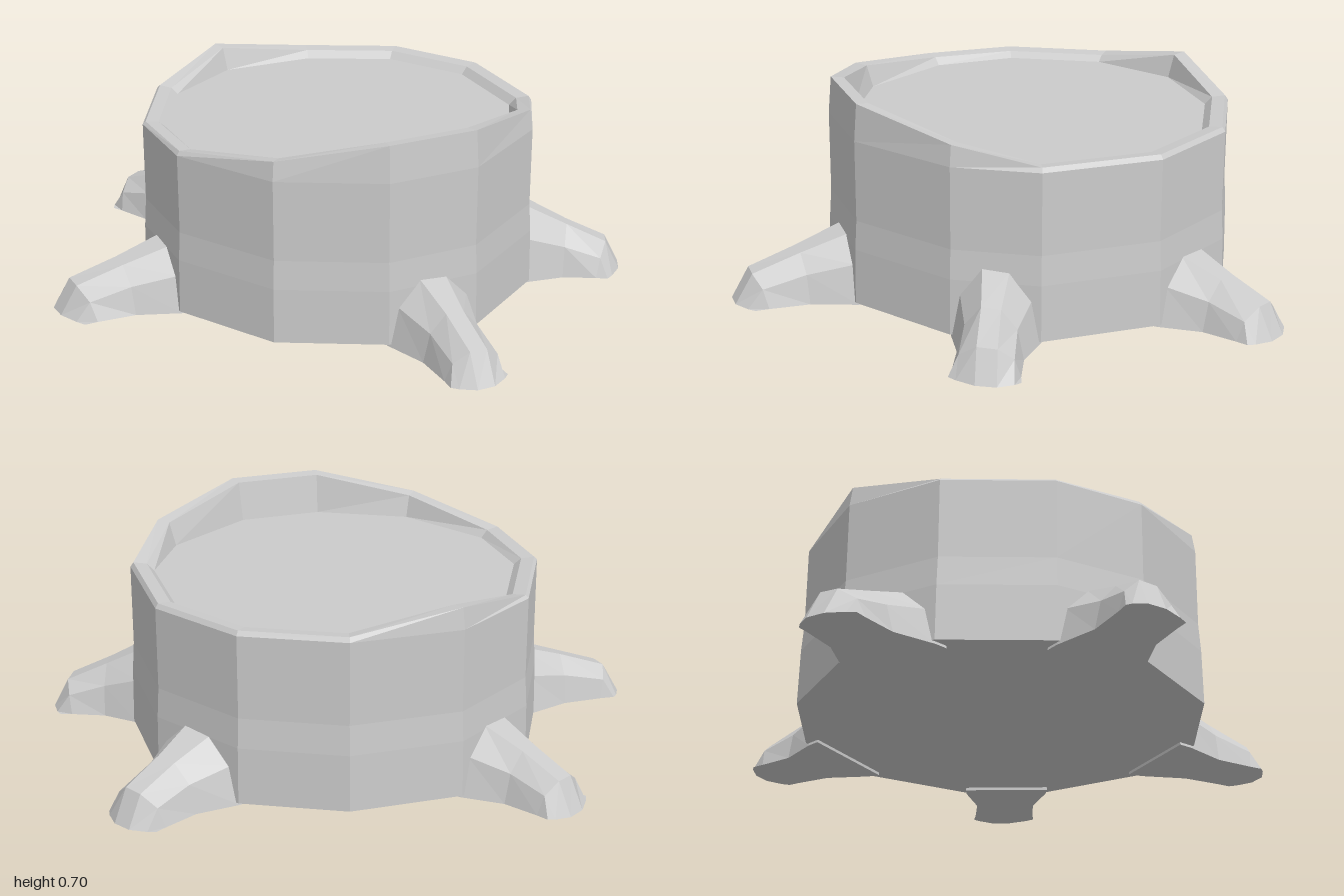
import * as THREE from 'three';

const material = new THREE.MeshStandardMaterial({ color: 0xcccccc, flatShading: true });

// Trunk corners as [x, z, rim height], going round from the back
const corners = [
  [0.03, -0.81, 0.59], [0.37, -0.73, 0.59], [0.62, -0.48, 0.59], [0.71, -0.09, 0.59],
  [0.63, 0.19, 0.645], [0.36, 0.48, 0.7], [0.05, 0.56, 0.7], [-0.31, 0.47, 0.64],
  [-0.58, 0.19, 0.59], [-0.66, -0.12, 0.585], [-0.57, -0.48, 0.585], [-0.33, -0.73, 0.645],
];

// Skin a list of equal rings, closing both ends at their centroids
function loft(name, rings) {
  const n = rings[0].length;
  const collapse = (ring) => {
    const c = ring.reduce((s, p) => s.add(p), new THREE.Vector3()).divideScalar(n);
    return ring.map(() => c);
  };
  const all = [collapse(rings[0]), ...rings, collapse(rings[rings.length - 1])];
  const index = [];
  for (let r = 0; r < all.length - 1; r++) {
    for (let i = 0; i < n; i++) {
      const j = (i + 1) % n;
      const a = r * n + i, b = r * n + j, c = b + n, d = a + n;
      if (r > 0) index.push(a, d, b);
      if (r < all.length - 2) index.push(b, d, c);
    }
  }
  // the first band is a fan from the centre
  for (let i = 0; i < n; i++) index.push(i, n + i, n + ((i + 1) % n));
  const geometry = new THREE.BufferGeometry().setFromPoints(all.flat());
  geometry.setIndex(index);
  geometry.computeVertexNormals();
  const mesh = new THREE.Mesh(geometry, material);
  mesh.name = name;
  return mesh;
}

// Trunk with an uneven raised rim around a sunken cut face
function makeTrunk() {
  const cx = 0.02, cz = -0.12;
  const ring = (scale, height) => corners.map(([x, z, top]) =>
    new THREE.Vector3(cx + (x - cx) * scale, height(top), cz + (z - cz) * scale));
  return loft('trunk', [
    ring(1.015, () => 0.01),
    ring(1.01, () => 0.2),
    ring(1, () => 0.3),
    ring(1, () => 0.575),
    ring(0.985, (top) => top),
    ring(0.92, (top) => top - 0.005),
    ring(0.885, () => 0.56),
  ]);
}

// Root growing out of one trunk facet: tip is left, middle, right on the ground
function makeRoot(name, facet, height, tip) {
  const ground = ([x, z]) => new THREE.Vector3(x, 0, z);
  const right = ground(corners[facet]);
  const left = ground(corners[(facet + 1) % corners.length]);
  const [tipLeft, tipMiddle, tipRight] = tip.map(ground);
  const bulge = tipMiddle.clone().sub(tipLeft.clone().lerp(tipRight, 0.5));
  const section = [[0, 0], [0.1, 0.62], [0.35, 1], [0.65, 0.97], [0.9, 0.6], [1, 0]];
  // distance along the root, ridge height, pinch of the width
  const stations = [
    [-0.15, height, 0], [0, height, 0], [0.45, height * 0.4 + 0.075, 0.1], [0.86, 0.105, 0.04], [1, 0, 0],
  ];
  return loft(name, stations.map(([t, h, pinch]) => {
    const a = left.clone().lerp(tipLeft, t);
    const b = right.clone().lerp(tipRight, t);
    return section.map(([u, v]) => {
      const p = a.clone().lerp(b, u + (0.5 - u) * 2 * pinch);
      p.addScaledVector(bulge, 4 * u * (1 - u) * t * t);
      p.y = h * v;
      return p;
    });
  }));
}

export function createModel() {
  const group = new THREE.Group();
  group.name = 'treeStump';
  group.add(
    makeTrunk(),
    makeRoot('frontRoot', 5, 0.22, [[0.18, 0.87], [0.29, 0.9], [0.38, 0.82]]),
    makeRoot('leftRoot', 3, 0.245, [[0.92, 0.22], [1, 0.11], [0.98, 0]]),
    makeRoot('backLeftRoot', 1, 0.21, [[0.78, -0.74], [0.74, -0.85], [0.63, -0.89]]),
    makeRoot('backRightRoot', 10, 0.21, [[-0.58, -0.9], [-0.68, -0.87], [-0.73, -0.75]]),
    makeRoot('rightRoot', 8, 0.21, [[-0.98, 0], [-1, 0.09], [-0.91, 0.21]]),
  );
  return group;
}
